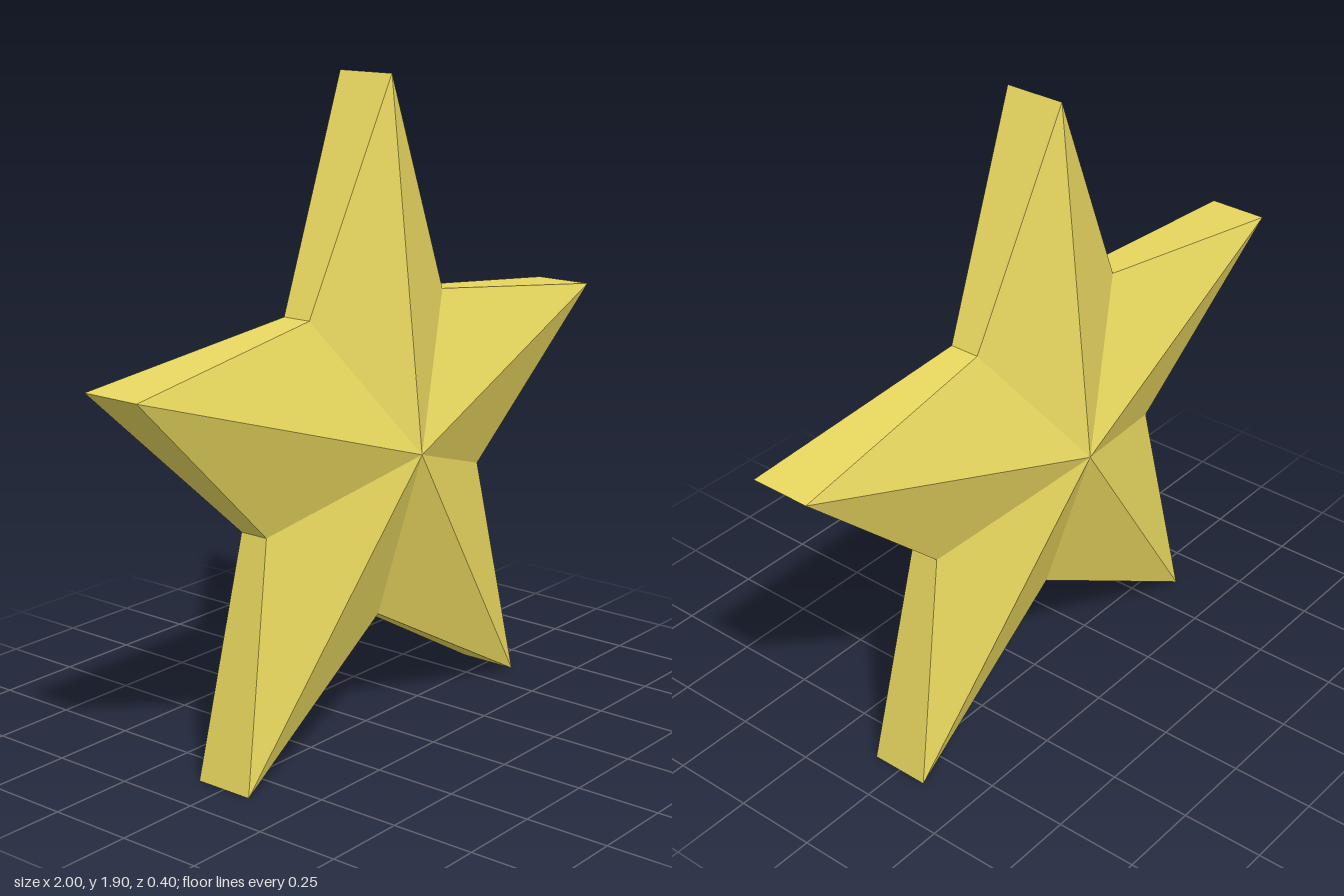
import * as THREE from 'three';

const POINTS = 5;
const OUTER = { radius: 1.0515, halfDepth: 0.091 };
const INNER = { radius: 0.506, halfDepth: 0.045 };
const PEAK = 0.202; // half depth at the centre
const CENTRE_Y = 0.851;

// Rim corner i, counter-clockwise from the top tip; side is +1 front, -1 back
function rim(i, side) {
  const { radius, halfDepth } = i % 2 === 0 ? OUTER : INNER;
  const a = Math.PI / 2 + (i * Math.PI) / POINTS;
  return [radius * Math.cos(a), radius * Math.sin(a), side * halfDepth];
}

function starGeometry() {
  const pos = [];
  const tri = (a, b, c) => pos.push(...a, ...b, ...c);
  for (let i = 0; i < POINTS * 2; i++) {
    const f0 = rim(i, 1), f1 = rim(i + 1, 1);
    const b0 = rim(i, -1), b1 = rim(i + 1, -1);
    // front and back facets rising to the central peaks
    tri([0, 0, PEAK], f0, f1);
    tri([0, 0, -PEAK], b1, b0);
    // edge band
    tri(f0, b0, b1);
    tri(f0, b1, f1);
  }
  const geo = new THREE.BufferGeometry();
  geo.setAttribute('position', new THREE.Float32BufferAttribute(pos, 3));
  geo.computeVertexNormals();
  return geo;
}

export function createModel() {
  const group = new THREE.Group();
  group.name = 'star';
  const material = new THREE.MeshStandardMaterial({ color: 0xe8d75f, flatShading: true });
  const body = new THREE.Mesh(starGeometry(), material);
  body.name = 'starBody';
  body.position.y = CENTRE_Y;
  group.add(body);
  return group;
}
